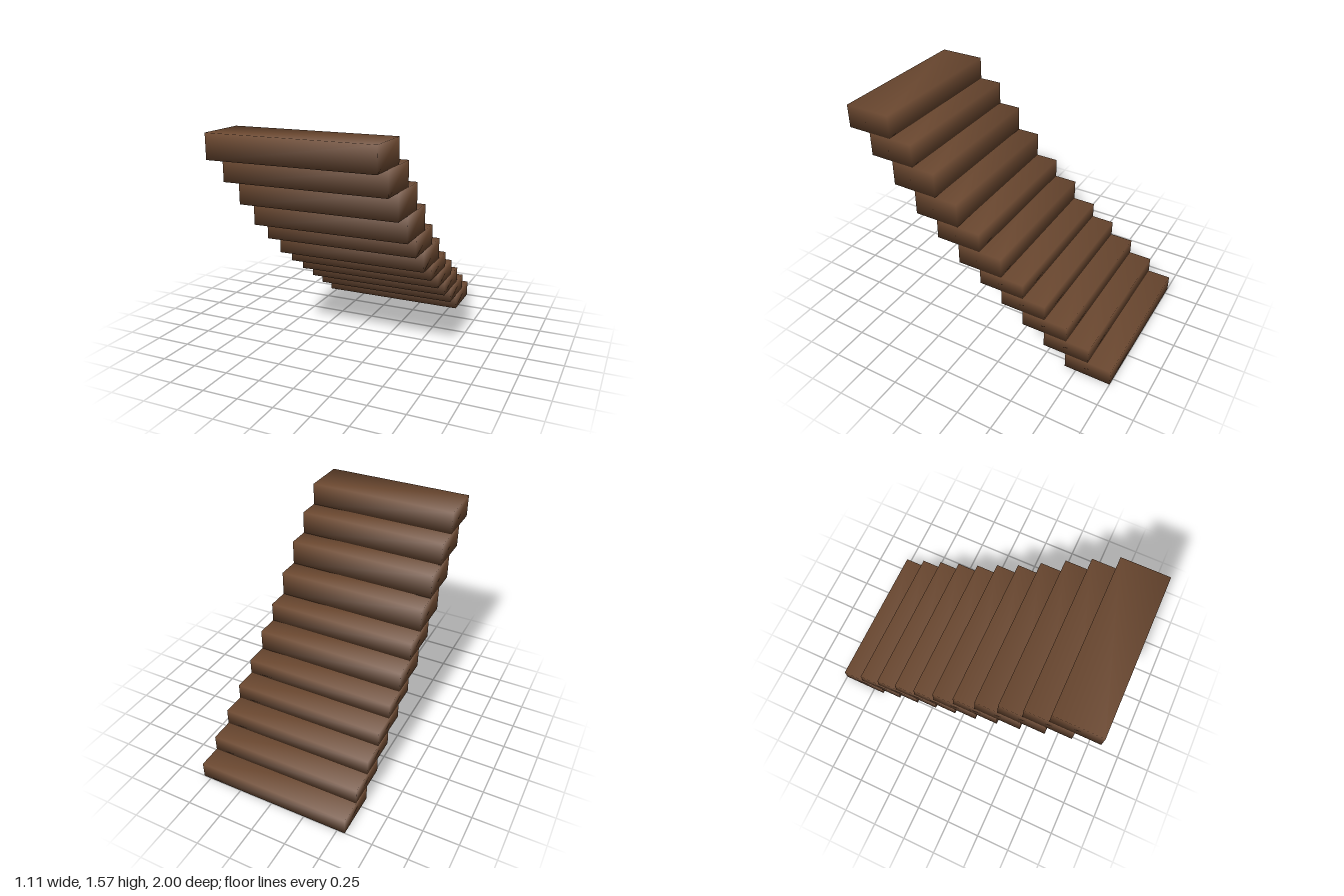
import * as THREE from 'three';
import { mergeVertices } from 'three/addons/utils/BufferGeometryUtils.js';

const WIDTH = 1.11;
const DEPTH = 1 / 3;
const RUN = 1 / 6;

// Box whose eight corners are shared, so its shading is smooth across the edges
function softBox(w, h, d) {
  const box = new THREE.BoxGeometry(w, h, d);
  box.deleteAttribute('normal');
  box.deleteAttribute('uv');
  const geometry = mergeVertices(box);
  geometry.clearGroups();
  geometry.computeVertexNormals();
  return geometry;
}

export function createModel() {
  const group = new THREE.Group();
  group.name = 'staircase';

  const wood = new THREE.MeshStandardMaterial({ color: 0x6b4830 });
  wood.name = 'brown wood';

  // Heights where one step ends and the next begins
  const levels = [0, 0.116, 0.231, 0.346, 0.46, 0.574, 0.727, 0.87, 1.051, 1.233, 1.401, 1.566];

  // Steps climb from the back to the front, each overlapping half the one below
  for (let i = 0; i < levels.length - 1; i++) {
    const height = levels[i + 1] - levels[i];
    const step = new THREE.Mesh(softBox(WIDTH, height, DEPTH), wood);
    step.name = `step${i + 1}`;
    step.position.set(0, levels[i] + height / 2, -1 + DEPTH / 2 + i * RUN);
    group.add(step);
  }
  return group;
}
